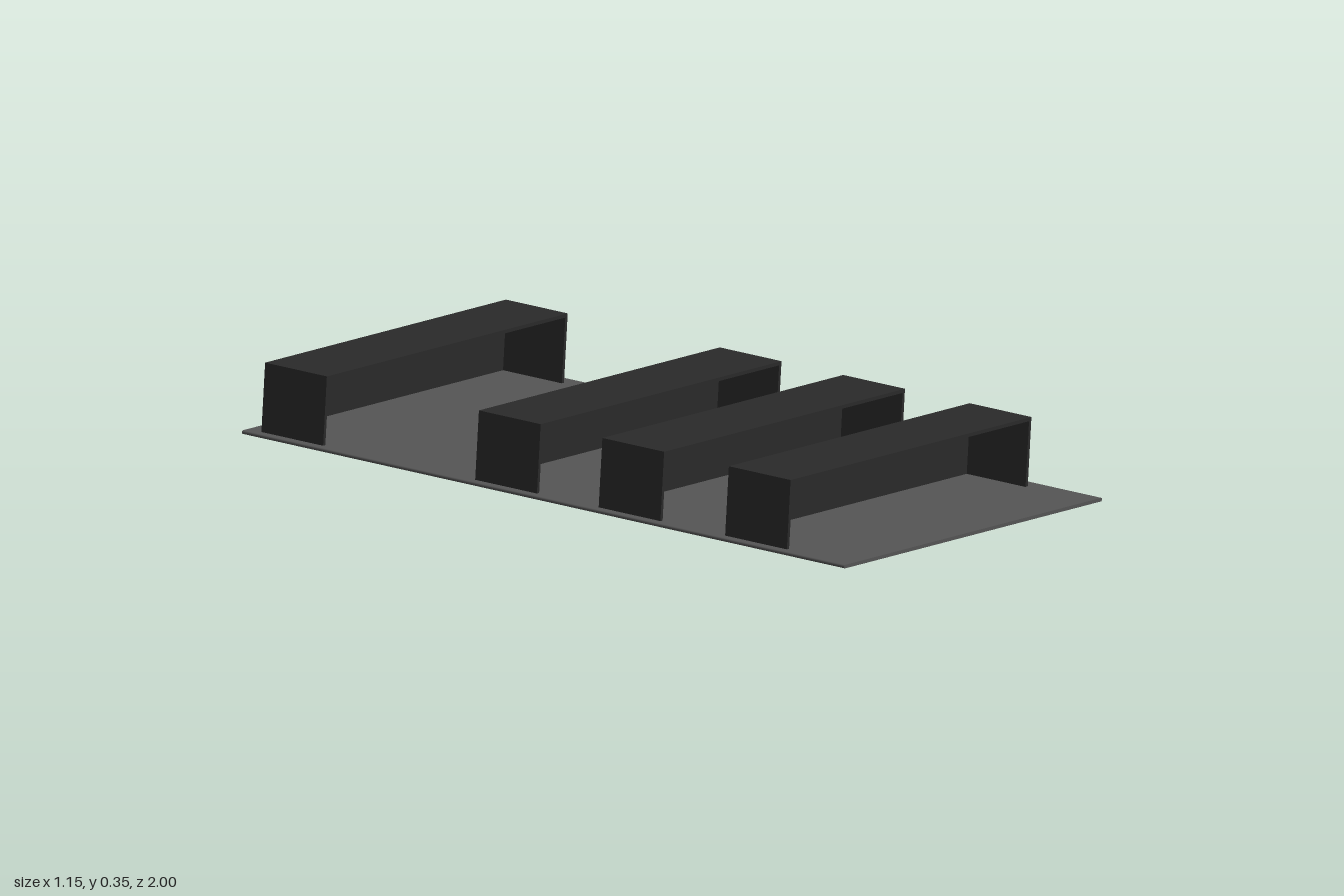
import * as THREE from 'three';

const material = (color) => new THREE.MeshStandardMaterial({ color });

// Extrude an XY shape along z, centred on z = 0
function extrude(shape, depth, mat, name) {
  const geo = new THREE.ExtrudeGeometry(shape, { depth, bevelEnabled: false, curveSegments: 32 });
  geo.translate(0, 0, -depth / 2);
  const mesh = new THREE.Mesh(geo, mat);
  mesh.name = name;
  return mesh;
}

// Thin base plate with rounded long edges, its top at y = 0
function createPlate() {
  const half = 0.576, t = 0.01, r = t / 2;
  const s = new THREE.Shape();
  s.moveTo(-half + r, -t);
  s.lineTo(half - r, -t);
  s.absarc(half - r, -r, r, -Math.PI / 2, Math.PI / 2, false);
  s.lineTo(-half + r, 0);
  s.absarc(-half + r, -r, r, Math.PI / 2, Math.PI * 1.5, false);
  return extrude(s, 2, material(0x555555), 'basePlate');
}

// Hollow compartment: top and end walls, a back wall, open towards +z
function createCompartment(mat) {
  const w = 1.076, h = 0.19, d = 0.205, t = 0.01;
  const group = new THREE.Group();
  group.name = 'compartment';
  const s = new THREE.Shape([
    [-w / 2, 0], [-w / 2 + t, 0], [-w / 2 + t, h - t], [w / 2 - t, h - t],
    [w / 2 - t, 0], [w / 2, 0], [w / 2, h], [-w / 2, h],
  ].map(([x, y]) => new THREE.Vector2(x, y)));
  const frame = extrude(s, d, mat, 'topAndEndWalls');
  const back = new THREE.Mesh(new THREE.BoxGeometry(w - 2 * t, h - t, t), mat);
  back.name = 'backWall';
  back.position.set(0, (h - t) / 2, -d / 2 + t / 2);
  group.add(frame, back);
  return group;
}

// Bowed strap handle below the plate
function createHandle() {
  const half = 0.21, depth = 0.061, t = 0.013;
  const R = (half * half + depth * depth) / (2 * depth);
  const cy = R - depth;
  const a = Math.asin(half / R);
  const s = new THREE.Shape();
  s.absarc(0, cy, R, -Math.PI / 2 - a, -Math.PI / 2 + a, false);
  const inner = Math.acos(cy / (R - t));
  s.absarc(0, cy, R - t, -Math.PI / 2 + inner, -Math.PI / 2 - inner, true);
  const handle = extrude(s, 0.072, material(0x808080), 'handle');
  handle.rotation.y = Math.PI / 2;
  handle.position.set(0.473, -0.01, 0);
  return handle;
}

export function createModel() {
  const model = new THREE.Group();
  model.name = 'tiltedRack';

  // Everything sits on a plate sloping down to the model's left
  const tilted = new THREE.Group();
  tilted.name = 'slopingTray';
  tilted.rotation.z = -THREE.MathUtils.degToRad(5);
  tilted.position.y = 0.115;
  tilted.add(createPlate(), createHandle());

  const dark = material(0x2a2a2a);
  for (const z of [-0.8525, -0.1425, 0.2675, 0.6875]) {
    const c = createCompartment(dark);
    c.position.set(-0.012, 0, z);
    tilted.add(c);
  }
  model.add(tilted);
  return model;
}
